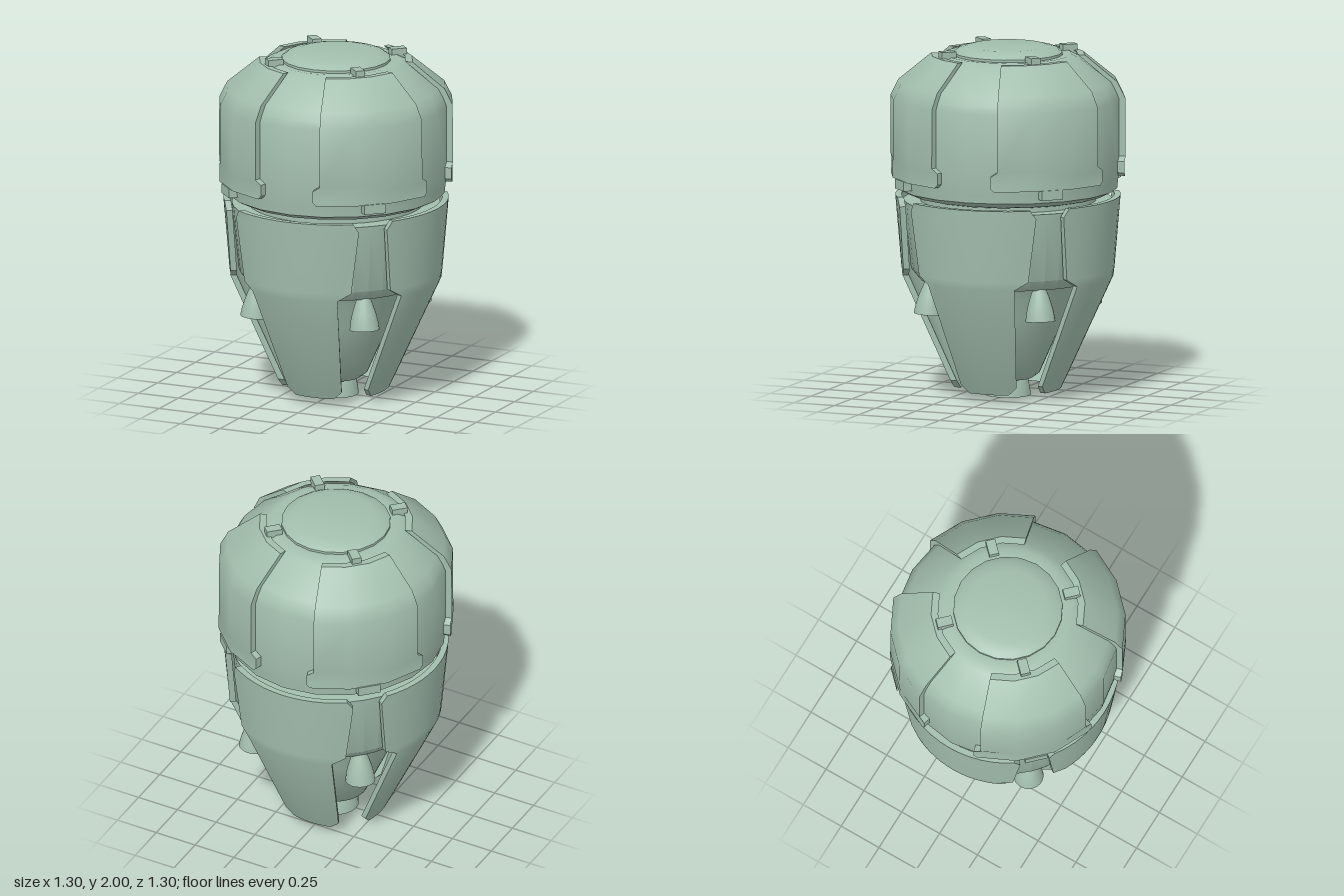
import * as THREE from 'three';
import { toCreasedNormals } from 'three/addons/utils/BufferGeometryUtils.js';

const material = new THREE.MeshStandardMaterial({ color: 0xa3bfae });

function mesh(name, geometry, crease = 0.6) {
  const m = new THREE.Mesh(toCreasedNormals(geometry, crease), material);
  m.name = name;
  return m;
}

function lathe(name, profile, segments = 20) {
  return mesh(name, new THREE.LatheGeometry(profile.map(([r, y]) => new THREE.Vector2(r, y)), segments));
}

// Curved solid plate facing +z. Rows run bottom to top:
// [height, distance of its middle from the axis, half angle, radius of curvature]
function plate(name, rows, columns, thickness) {
  const positions = [], index = [];
  const n = 2 * (columns + 1);
  for (const [y, r, half, R] of rows) {
    for (let k = 0; k < n; k++) {
      const outer = k <= columns;
      const i = outer ? k : n - 1 - k;
      const a = half * (2 * i / columns - 1);
      const c = outer ? R : R - thickness;
      positions.push(c * Math.sin(a), y, r - R + c * Math.cos(a));
    }
  }
  const quad = (a, b, c, d) => index.push(a, b, c, a, c, d);
  for (let j = 0; j < rows.length - 1; j++) {
    for (let k = 0; k < n; k++) {
      const k2 = (k + 1) % n;
      quad(j * n + k, j * n + k2, (j + 1) * n + k2, (j + 1) * n + k);
    }
  }
  // Close the lower and upper ends
  const top = (rows.length - 1) * n;
  for (let i = 0; i < columns; i++) {
    quad(n - 1 - i, n - 2 - i, i + 1, i);
    quad(top + i, top + i + 1, top + n - 2 - i, top + n - 1 - i);
  }
  const g = new THREE.BufferGeometry();
  g.setAttribute('position', new THREE.Float32BufferAttribute(positions, 3));
  g.setIndex(index);
  return mesh(name, g);
}

function box(name, w, h, d, y, z) {
  const b = mesh(name, new THREE.BoxGeometry(w, h, d));
  b.position.set(0, y, z);
  return b;
}

// Hollow bell, mouth at y = 0
function nozzle(name, height, mouth, throat, wall) {
  const outer = [0, 0.25, 0.5, 0.75, 1].map((t) =>
    [mouth + (throat - mouth) * Math.pow(t, 1.5), height * t]);
  const inner = outer.slice(0, 4).map(([r, y]) => [r - wall, y]).reverse();
  return lathe(name, [[0, height * 0.75], ...inner, ...outer, [0, height]]);
}

export function createModel() {
  const model = new THREE.Group();
  model.name = 'capsule';

  // Upper capsule and its top hatch
  model.add(lathe('upperBody', [
    [0, 1.15], [0.52, 1.15], [0.56, 1.16], [0.62, 1.19], [0.625, 1.24], [0.633, 1.3],
    [0.633, 1.7], [0.615, 1.745], [0.585, 1.8], [0.41, 1.93], [0.36, 1.955], [0.3, 1.95],
  ]));
  model.add(lathe('topHatch', [
    [0.31, 1.94], [0.31, 1.965], [0.28, 1.985], [0.22, 2], [0, 2],
  ]));

  // Lower core, neck and main engine
  model.add(lathe('lowerCore', [
    [0, 0.1], [0.14, 0.1], [0.18, 0.13], [0.33, 0.47], [0.37, 0.6], [0.4, 0.66],
    [0.5, 0.67], [0.55, 0.73], [0.59, 1.12], [0.5, 1.12], [0.5, 1.18],
  ], 40));
  model.add(nozzle('mainNozzle', 0.2, 0.13, 0.08, 0.02));

  // Rows of the diagonal armour panels, with a wider foot
  const panelRows = [
    [1.265, 0.668, 0.51], [1.285, 0.668, 0.54], [1.35, 0.668, 0.54], [1.375, 0.668, 0.48],
    [1.71, 0.667, 0.48], [1.8, 0.622, 0.48], [1.952, 0.437, 0.48],
  ].map(([y, r, half]) => [y, r, half, r]);

  // Rows of the lower petals: height, distance, half width, curvature
  const petalRows = [
    [0.04, 0.295, 0.12, 0.42], [0.085, 0.317, 0.17, 0.43], [0.69, 0.598, 0.265, 0.6],
    [0.735, 0.603, 0.335, 0.603], [1.1, 0.634, 0.385, 0.634], [1.15, 0.638, 0.36, 0.638],
  ].map(([y, r, w, R]) => [y, r, Math.asin(w / R), R]);

  for (let i = 0; i < 4; i++) {
    const petal = plate('lowerPetal', petalRows, 12, 0.036);
    petal.rotation.y = i * Math.PI / 2;
    model.add(petal);

    const corner = new THREE.Group();
    corner.name = 'cornerAssembly';
    corner.rotation.y = (i + 0.5) * Math.PI / 2;
    corner.add(plate('armourPanel', panelRows, 3, 0.04));
    corner.add(box('upperClip', 0.055, 0.055, 0.09, 1.96, 0.37));
    corner.add(box('lowerClip', 0.13, 0.055, 0.06, 1.24, 0.635));
    const thruster = nozzle('sideNozzle', 0.19, 0.085, 0.035, 0.014);
    thruster.position.set(0, 0.49, 0.485);
    thruster.rotation.x = -0.09;
    corner.add(thruster);
    model.add(corner);
  }
  return model;
}
